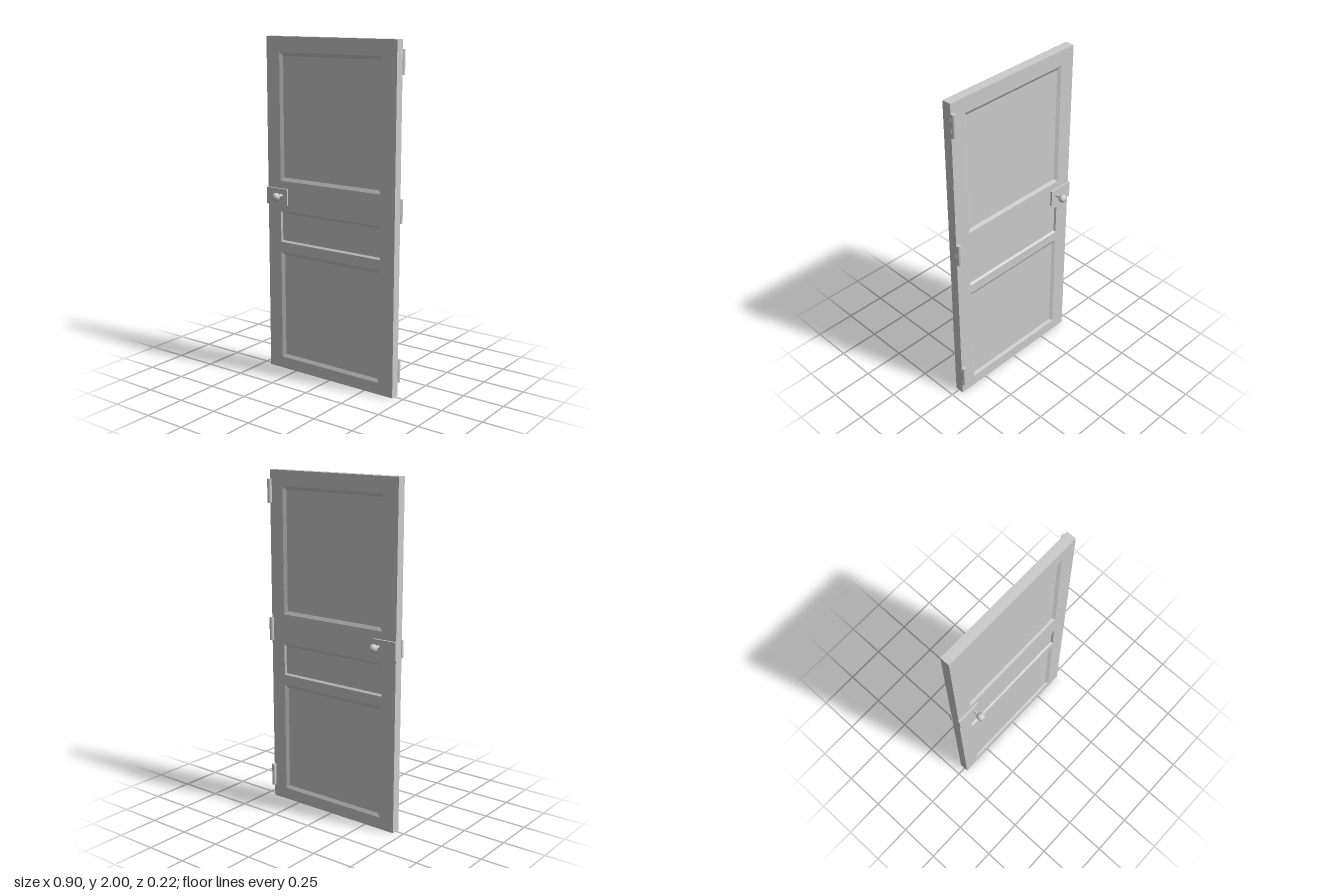
import * as THREE from 'three';

const material = new THREE.MeshStandardMaterial({ color: 0xcccccc, flatShading: true });
const smooth = new THREE.MeshStandardMaterial({ color: 0xcccccc });

const CX = -0.002, CZ = -0.0035;      // slab centre
const W = 0.445, H = 2, T = 0.0275;   // half width, height, half thickness
const DEPTH = 0.011;                  // recess depth

// recessed panels: half width, bottom, top, and bevel widths in x and y
const panels = [
  { name: 'upperPanel', w: 0.352, y0: 1.165, y1: 1.91, bx: 0.02, by: 0.02 },
  { name: 'middlePanel', w: 0.352, y0: 0.795, y1: 0.983, bx: 0.006, by: 0.01 },
  { name: 'lowerPanel', w: 0.352, y0: 0.07, y1: 0.735, bx: 0.02, by: 0.02 },
];

function add(parent, name, geometry, x = 0, y = 0, z = 0, mat = material) {
  const mesh = new THREE.Mesh(geometry, mat);
  mesh.name = name;
  mesh.position.set(x, y, z);
  parent.add(mesh);
  return mesh;
}

// corners of a rectangle, counter-clockwise seen from +z
const rect = (w, y0, y1, z = 0) => [[-w, y0, z], [w, y0, z], [w, y1, z], [-w, y1, z]];
const toPoints = (corners) => corners.map(([x, y]) => new THREE.Vector2(x, y));

// flat-shaded surface from four-cornered faces
function quads(faces) {
  const positions = faces.flatMap(([a, b, c, d]) => [a, b, c, a, c, d].flat());
  const geometry = new THREE.BufferGeometry();
  geometry.setAttribute('position', new THREE.Float32BufferAttribute(positions, 3));
  geometry.computeVertexNormals();
  return geometry;
}

// band of four faces joining two rectangles
const band = (outer, inner) => outer.map((p, i) => {
  const j = (i + 1) % 4;
  return [p, outer[j], inner[j], inner[i]];
});

// one face of the door with its sunken, bevelled panels
function doorFace(name) {
  const face = new THREE.Group();
  face.name = name;
  const shape = new THREE.Shape(toPoints(rect(W, 0, H)));
  for (const p of panels) {
    const outer = rect(p.w, p.y0, p.y1);
    const inner = rect(p.w - p.bx, p.y0 + p.by, p.y1 - p.by, -DEPTH);
    shape.holes.push(new THREE.Path(toPoints(outer).reverse()));
    add(face, p.name, quads([...band(outer, inner), inner]));
  }
  add(face, 'frame', new THREE.ShapeGeometry(shape));
  return face;
}

// lock plate with a round knob on a stem
function knobSet(name, sign) {
  const set = new THREE.Group();
  set.name = name;
  add(set, 'lockPlate', new THREE.BoxGeometry(0.152, 0.1, 0.014), -0.375, 1.07, CZ + sign * 0.032);
  const stem = add(set, 'stem', new THREE.CylinderGeometry(0.009, 0.009, 0.045, 16),
    -0.338, 1.08, CZ + sign * 0.058, smooth);
  stem.rotation.x = Math.PI / 2;
  add(set, 'knob', new THREE.SphereGeometry(0.024, 24, 16), -0.338, 1.08, sign * 0.0885 - 0.0015, smooth);
  return set;
}

export function createModel() {
  const door = new THREE.Group();
  door.name = 'door';

  // slab: front, back and the four edges
  const slab = new THREE.Group();
  slab.name = 'slab';
  slab.position.set(CX, 0, CZ);
  const front = doorFace('frontFace');
  front.position.z = T;
  const back = doorFace('backFace');
  back.position.z = -T;
  back.rotation.y = Math.PI;
  slab.add(front, back);
  add(slab, 'edges', quads(band(rect(W, 0, H, -T), rect(W, 0, H, T))));
  door.add(slab);

  // handles on both sides
  door.add(knobSet('frontHandle', 1), knobSet('backHandle', -1));

  // three hinge barrels along the back edge
  for (const y of [0.145, 1.07, 1.88]) {
    add(door, 'hinge', new THREE.CylinderGeometry(0.013, 0.013, 0.135, 20), 0.436, y, -0.044, smooth);
  }
  return door;
}
